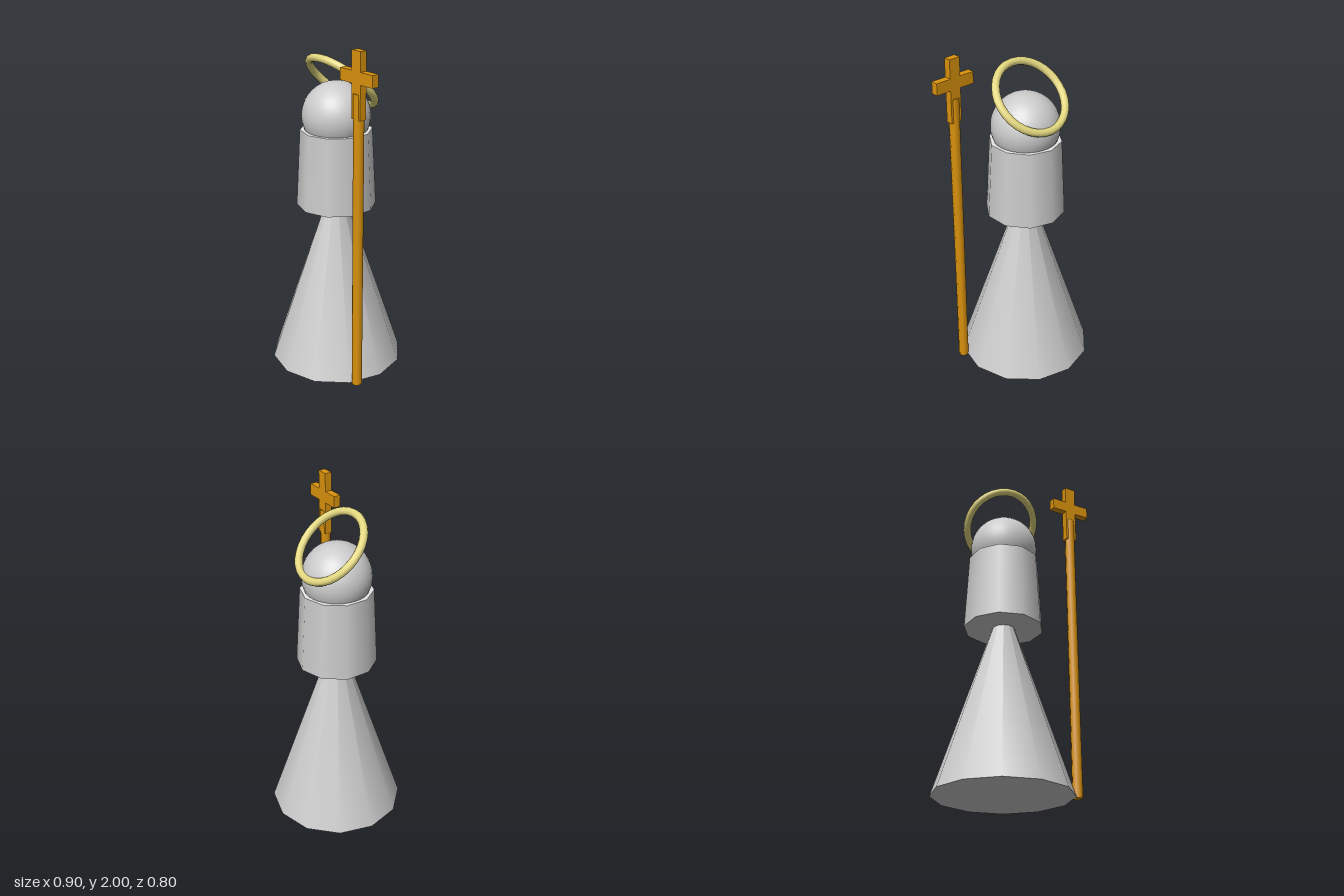
import * as THREE from 'three';

const grey = new THREE.MeshStandardMaterial({ name: 'stoneGrey', color: 0xcccccc });
const white = new THREE.MeshStandardMaterial({ name: 'collarWhite', color: 0xf4f4f4 });
const gold = new THREE.MeshStandardMaterial({ name: 'staffGold', color: 0xdb930d });
const paleGold = new THREE.MeshStandardMaterial({ name: 'haloGold', color: 0xe4d880 });

function add(parent, name, geometry, material, x, y, z) {
  const mesh = new THREE.Mesh(geometry, material);
  mesh.name = name;
  mesh.position.set(x, y, z);
  parent.add(mesh);
  return mesh;
}

export function createModel() {
  const model = new THREE.Group();
  model.name = 'haloedFigure';

  // Figure: conical robe, tapered torso, round head
  const figure = new THREE.Group();
  figure.name = 'figure';
  figure.position.x = -0.05;
  add(figure, 'robe', new THREE.ConeGeometry(0.4, 1.2, 12), grey, 0, 0.6, 0);
  // Material order: side, top cap, bottom cap
  add(figure, 'torso', new THREE.CylinderGeometry(0.21, 0.235, 0.46, 10), [grey, white, grey], 0, 1.23, 0);
  add(figure, 'head', new THREE.SphereGeometry(0.2, 32, 20), grey, 0, 1.54, 0);

  // Halo leaning back behind the head, high at the front
  const halo = add(figure, 'halo', new THREE.TorusGeometry(0.22, 0.023, 10, 32), paleGold, 0, 1.73, -0.042);
  halo.rotation.x = Math.PI / 4;
  model.add(figure);

  // Staff topped with a cross
  const staff = new THREE.Group();
  staff.name = 'staff';
  staff.position.set(0.326, 0, 0.167);
  add(staff, 'staffPole', new THREE.CylinderGeometry(0.03, 0.03, 1.77, 8), gold, 0, 0.885, 0);
  add(staff, 'crossUpright', new THREE.BoxGeometry(0.068, 0.37, 0.042), gold, 0, 1.815, 0);
  add(staff, 'crossBar', new THREE.BoxGeometry(0.25, 0.068, 0.042), gold, 0, 1.858, 0);
  model.add(staff);

  return model;
}
